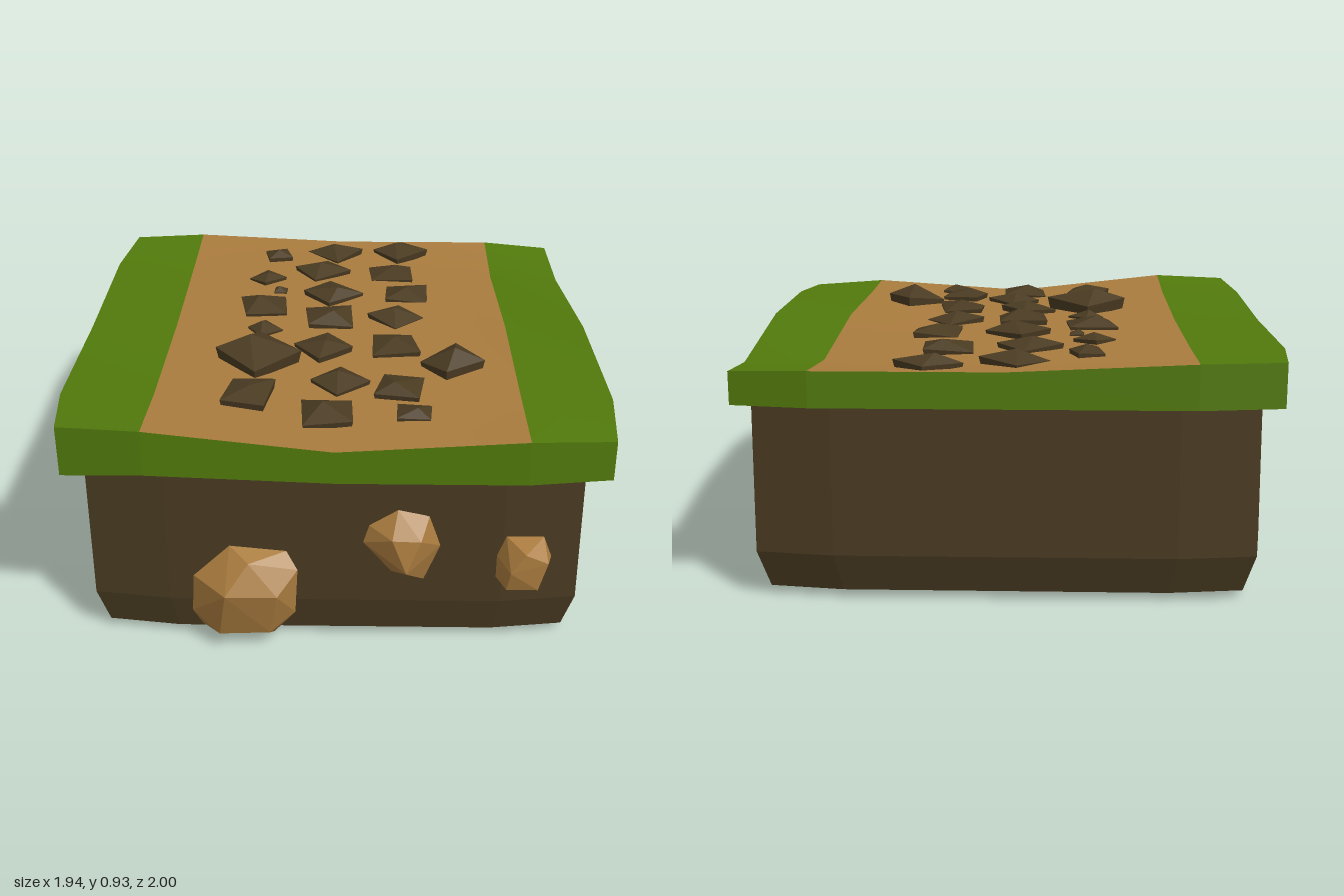
import * as THREE from 'three';
import { mergeVertices } from 'three/addons/utils/BufferGeometryUtils.js';
import { ConvexGeometry } from 'three/addons/geometries/ConvexGeometry.js';

const mat = (name, color) => Object.assign(new THREE.MeshStandardMaterial({ color }), { name });

// Geometry from four-cornered faces, counter-clockwise from outside
function fromQuads(quads, smooth = false) {
  const pos = [];
  for (const [a, b, c, d] of quads) pos.push(...a, ...b, ...c, ...a, ...c, ...d);
  let g = new THREE.BufferGeometry();
  g.setAttribute('position', new THREE.Float32BufferAttribute(pos, 3));
  if (smooth) g = mergeVertices(g);
  g.computeVertexNormals();
  return g;
}

function seeded(seed) {
  return () => (seed = (seed * 16807) % 2147483647) / 2147483647;
}

// Uneven top slab: 5 x 5 control grid, rows run from back to front
const COLS = [-0.97, -0.64, 0, 0.65, 0.95];
const ROWS = [-1, -0.65, 0, 0.62, 0.95];
const LEFT = [-0.93, -0.97, -0.97, -0.97, -0.93];
const RIGHT = [0.92, 0.935, 0.955, 0.97, 0.94];
const HEIGHT = [
  [0.86, 0.86, 0.83, 0.83, 0.82],
  [0.85, 0.85, 0.835, 0.80, 0.79],
  [0.845, 0.845, 0.845, 0.86, 0.86],
  [0.865, 0.865, 0.835, 0.86, 0.86],
  [0.89, 0.897, 0.825, 0.868, 0.852],
];

function slabPoint(i, j, top) {
  const x = i === 0 ? LEFT[j] : i === 4 ? RIGHT[j] : COLS[i];
  const corner = i === 0 || i === 4;
  const z = ROWS[j] + (corner && j === 0 ? 0.04 : corner && j === 4 ? -0.04 : 0);
  const y = top ? HEIGHT[j][i] : j === 4 && i === 1 ? 0.73 : 0.705;
  return [x, y, z];
}

function surfaceHeight(x, z) {
  const find = (list, v) => Math.max(0, Math.min(3, list.findIndex((n) => n > v) - 1));
  const i = find(COLS, x), j = find(ROWS, z);
  const u = (x - COLS[i]) / (COLS[i + 1] - COLS[i]);
  const v = (z - ROWS[j]) / (ROWS[j + 1] - ROWS[j]);
  const lerp = THREE.MathUtils.lerp;
  return lerp(lerp(HEIGHT[j][i], HEIGHT[j][i + 1], u), lerp(HEIGHT[j + 1][i], HEIGHT[j + 1][i + 1], u), v);
}

function slabCells(from, to, top) {
  const quads = [];
  for (let i = from; i < to; i++) for (let j = 0; j < 4; j++) {
    const q = [[i, j], [i, j + 1], [i + 1, j + 1], [i + 1, j]].map(([a, b]) => slabPoint(a, b, top));
    quads.push(top ? q : q.reverse());
  }
  return quads;
}

function slabRim() {
  const path = [];
  for (let k = 0; k < 4; k++) path.push([0, k]);
  for (let k = 0; k < 4; k++) path.push([k, 4]);
  for (let k = 4; k > 0; k--) path.push([4, k]);
  for (let k = 4; k > 0; k--) path.push([k, 0]);
  return path.map(([a, b], n) => {
    const [c, d] = path[(n + 1) % path.length];
    return [slabPoint(a, b, true), slabPoint(a, b, false), slabPoint(c, d, false), slabPoint(c, d, true)];
  });
}

// Earth block: one outline swept through levels of [y, half width, front z, back z]
function earthQuads() {
  const outline = [
    [-0.95, -0.96], [-1, -0.65], [-1, 0.65], [-0.95, 0.96], [-0.65, 1], [0.65, 1],
    [0.95, 0.96], [1, 0.65], [1, -0.65], [0.95, -0.96], [0.65, -1], [-0.65, -1],
  ];
  const levels = [
    [0.74, 0.905, 0.875, -0.935], [0.17, 0.91, 0.865, -0.935],
    [0.03, 0.87, 0.835, -0.89], [0, 0.6, 0.6, -0.62],
  ];
  const loops = levels.map(([y, w, f, b]) =>
    outline.map(([u, v]) => [u * w, y, (f + b) / 2 + v * (f - b) / 2]));
  const quads = [];
  const n = outline.length;
  for (let l = 0; l < 3; l++) for (let k = 0; k < n; k++) {
    const m = (k + 1) % n;
    quads.push([loops[l][k], loops[l + 1][k], loops[l + 1][m], loops[l][m]]);
  }
  const base = loops[3];
  for (let k = 1; k < n - 2; k += 2) quads.push([base[0], base[k + 2], base[k + 1], base[k]]);
  return quads;
}

// Loose stones on the path: x, z, radius, turn in degrees, height
const STONES = [
  [-0.03, -0.83, 0.115, 0, 0.045], [0.26, -0.86, 0.115, 5, 0.045], [-0.28, -0.76, 0.07, 35, 0.04],
  [-0.08, -0.6, 0.115, 10, 0.045], [0.21, -0.59, 0.118, 45, 0.045], [-0.31, -0.5, 0.075, 0, 0.035],
  [-0.25, -0.37, 0.036, 48, 0.025], [-0.03, -0.33, 0.12, 0, 0.05], [0.27, -0.34, 0.12, 48, 0.045],
  [-0.31, -0.2, 0.125, 40, 0.05], [-0.04, -0.08, 0.125, 42, 0.05], [0.22, -0.1, 0.11, 5, 0.045],
  [-0.29, 0.02, 0.07, 5, 0.035], [-0.06, 0.19, 0.115, 8, 0.045], [0.22, 0.18, 0.122, 40, 0.045],
  [-0.3, 0.28, 0.163, 2, 0.085], [0.42, 0.35, 0.12, 5, 0.08], [0.01, 0.46, 0.112, 5, 0.045],
  [0.23, 0.53, 0.115, 50, 0.045], [-0.31, 0.6, 0.12, 52, 0.05], [-0.035, 0.71, 0.122, 46, 0.05],
  [0.27, 0.72, 0.078, 50, 0.035],
];

function stoneGeometry([x, z, r, turn, h], seed) {
  const rnd = seeded(seed * 7919 + 13);
  rnd();
  const points = [new THREE.Vector3((rnd() - 0.5) * r * 0.4, h, (rnd() - 0.5) * r * 0.4)];
  for (let k = 0; k < 4; k++) {
    const a = THREE.MathUtils.degToRad(turn + k * 90 + (rnd() - 0.5) * 16);
    const s = r * (0.92 + rnd() * 0.16);
    points.push(new THREE.Vector3(Math.cos(a) * s, h * (0.15 + 0.4 * rnd()), Math.sin(a) * s));
    points.push(new THREE.Vector3(Math.cos(a) * s * 0.9, -0.03, Math.sin(a) * s * 0.9));
  }
  return new ConvexGeometry(points);
}

// Boulders set in the front face, each a hull of a few corners
const BOULDERS = [
  [[-0.37, 0.4, 0.87], [-0.17, 0.38, 0.87], [-0.13, 0.32, 0.9], [-0.14, 0.14, 0.9], [-0.22, 0.015, 0.85],
    [-0.48, 0.05, 0.85], [-0.51, 0.13, 0.88], [-0.5, 0.28, 0.88], [-0.38, 0.27, 1], [-0.2, 0.25, 0.97],
    [-0.23, 0.07, 0.93], [-0.41, 0.07, 0.94], [-0.3, 0.37, 0.94], [-0.33, 0.2, 0.75]],
  [[0.22, 0.56, 0.88], [0.33, 0.53, 0.87], [0.37, 0.41, 0.87], [0.32, 0.26, 0.86], [0.2, 0.3, 0.87],
    [0.1, 0.42, 0.87], [0.12, 0.49, 0.87], [0.25, 0.34, 0.95], [0.2, 0.47, 0.94], [0.3, 0.46, 0.93],
    [0.23, 0.41, 0.78]],
  [[0.6, 0.45, 0.87], [0.73, 0.45, 0.87], [0.76, 0.37, 0.87], [0.71, 0.255, 0.87], [0.57, 0.28, 0.87],
    [0.57, 0.37, 0.87], [0.66, 0.43, 0.96], [0.74, 0.39, 0.95], [0.71, 0.28, 0.95], [0.6, 0.28, 0.95],
    [0.61, 0.36, 0.97], [0.66, 0.35, 0.8]],
];

export function createModel() {
  const grass = mat('grass green', 0x527a0c);
  const sand = mat('sandy brown', 0xaa7c3e);
  const earth = mat('dark earth', 0x4a3b22);
  const model = new THREE.Group();
  model.name = 'terrainBlock';

  const add = (name, geometry, material, parent = model) => {
    const mesh = new THREE.Mesh(geometry, material);
    mesh.name = name;
    parent.add(mesh);
    return mesh;
  };

  add('earthBlock', fromQuads(earthQuads()), earth);

  // Grass layer with the path across its top
  add('grassRim', fromQuads([...slabRim(), ...slabCells(0, 4, false)]), grass);
  add('rightGrass', fromQuads(slabCells(0, 1, true), true), grass);
  add('leftGrass', fromQuads(slabCells(3, 4, true), true), grass);
  add('path', fromQuads(slabCells(1, 3, true), true), sand);

  const stones = new THREE.Group();
  stones.name = 'pathStones';
  model.add(stones);
  STONES.forEach((s, n) => {
    add('stone', stoneGeometry(s, n + 1), earth, stones).position.set(s[0], surfaceHeight(s[0], s[1]), s[1]);
  });

  const boulders = new THREE.Group();
  boulders.name = 'boulders';
  model.add(boulders);
  for (const corners of BOULDERS) {
    add('boulder', new ConvexGeometry(corners.map((c) => new THREE.Vector3(...c))), sand, boulders);
  }
  return model;
}
